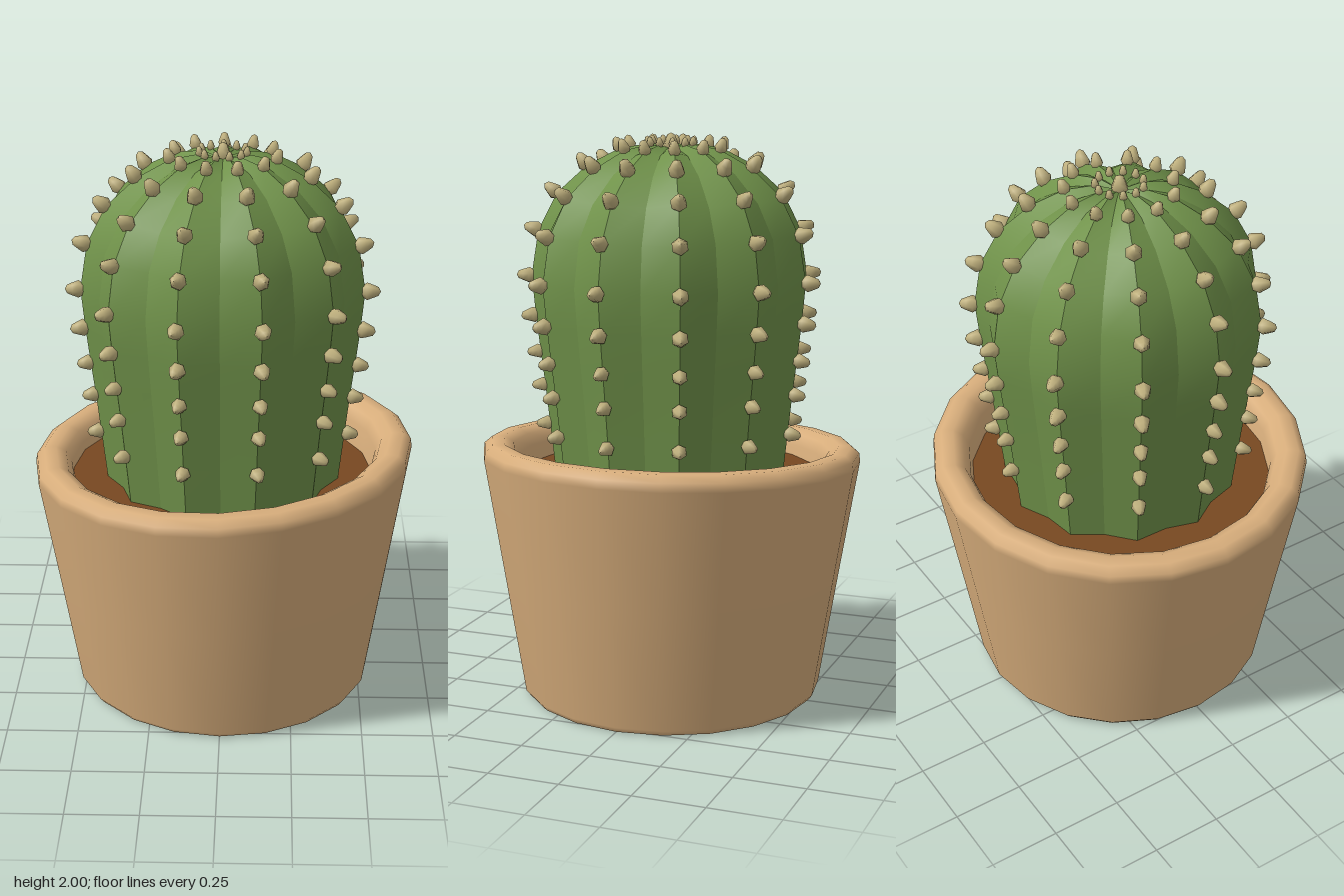
import * as THREE from 'three';
import { mergeGeometries } from 'three/addons/utils/BufferGeometryUtils.js';

const material = (name, color, side = THREE.FrontSide) => {
  const m = new THREE.MeshStandardMaterial({ color, side });
  m.name = name;
  return m;
};
const points = (list) => list.map(([x, y]) => new THREE.Vector2(x, y));

const RIBS = 11;
// Ridge line of a rib as [radius, height], from below the soil to the crown
const RIDGE = [
  [0.41, 0.74], [0.435, 0.97], [0.45, 1.11], [0.465, 1.23], [0.48, 1.36], [0.493, 1.5],
  [0.467, 1.66], [0.4, 1.79], [0.295, 1.885], [0.18, 1.945], [0.08, 1.962], [0, 1.945],
];

// One flat side of a rib, running from ridge to valley, smooth along its height
function ribSide(angleA, angleB, ratioA, ratioB) {
  const pos = [], index = [];
  RIDGE.forEach(([r, y], i) => {
    for (const [a, k] of [[angleA, ratioA], [angleB, ratioB]]) {
      const drop = k < 1 && y > 1.7 ? 0.015 : 0;
      pos.push(Math.sin(a) * r * k, y - (r > 0 ? drop : 0), Math.cos(a) * r * k);
    }
    if (i > 0) {
      const b = i * 2;
      index.push(b - 2, b - 1, b + 1, b - 2, b + 1, b);
    }
  });
  const g = new THREE.BufferGeometry();
  g.setAttribute('position', new THREE.Float32BufferAttribute(pos, 3));
  g.setIndex(index);
  g.computeVertexNormals();
  return g;
}

export function createModel() {
  const model = new THREE.Group();
  model.name = 'pottedCactus';
  const clay = material('clay', 0xd8ae7c);
  const soilBrown = material('soilBrown', 0x784821);
  const green = material('cactusGreen', 0x70924a);
  const straw = material('spineStraw', 0xc0b17e);
  const add = (name, geometry, mat, parent = model) => {
    const mesh = new THREE.Mesh(geometry, mat);
    mesh.name = name;
    parent.add(mesh);
    return mesh;
  };

  // Pot: twenty-sided shell with a rounded rim that slopes up to one side
  const pot = new THREE.LatheGeometry(points([
    [0.522, 0], [0.538, 0.02], [0.606, 0.44], [0.674, 0.855], [0.67, 0.885], [0.643, 0.908],
    [0.6, 0.91], [0.565, 0.89], [0.545, 0.85], [0.53, 0.74],
  ]), 20);
  const p = pot.attributes.position;
  for (let i = 0; i < p.count; i++) {
    p.setY(i, p.getY(i) * (1 + p.getX(i) * 0.062));
  }
  // keep the lathe's own seamless normals; the slope is slight
  add('pot', pot, clay);
  add('potBase', new THREE.CircleGeometry(0.522, 20).rotateX(Math.PI / 2), clay);

  // Soil
  add('soil', new THREE.CircleGeometry(0.54, 20).rotateX(-Math.PI / 2).translate(0, 0.79, 0), soilBrown);

  // Cactus body: eleven ribs with a ridge at the back
  const sides = [];
  const half = Math.PI / RIBS;
  for (let i = 0; i < RIBS; i++) {
    const a = Math.PI + i * 2 * half;
    sides.push(ribSide(a - half, a, 0.92, 1), ribSide(a, a + half, 1, 0.92));
  }
  add('cactusBody', mergeGeometries(sides), green);

  // Spines: stubby rounded cones standing along every ridge
  const spine = new THREE.LatheGeometry(points([
    [0.017, -0.015], [0.03, 0.006], [0.022, 0.028], [0.015, 0.045], [0, 0.053],
  ]), 6);
  const spines = new THREE.Group();
  spines.name = 'spines';
  model.add(spines);
  const up = new THREE.Vector3(0, 1, 0);
  for (let i = 0; i < RIBS; i++) {
    const a = Math.PI + i * 2 * half;
    for (let j = 1; j < RIDGE.length - 1; j++) {
      const [r, y] = RIDGE[j];
      const [r0, y0] = RIDGE[j - 1], [r1, y1] = RIDGE[j + 1];
      const out = Math.max(y1 - y0, 0.02), rise = r0 - r1;
      const mesh = add('spine', spine, straw, spines);
      mesh.position.set(Math.sin(a) * r, y, Math.cos(a) * r);
      const dir = new THREE.Vector3(Math.sin(a) * out, rise, Math.cos(a) * out).normalize();
      mesh.quaternion.setFromUnitVectors(up, dir);
      mesh.scale.setScalar(j === 10 ? 0.5 : j === 9 ? 0.8 : j < 4 ? 0.92 : 1);
    }
  }
  add('crownSpine', spine, straw, spines).position.set(0, 1.947, 0);

  return model;
}
